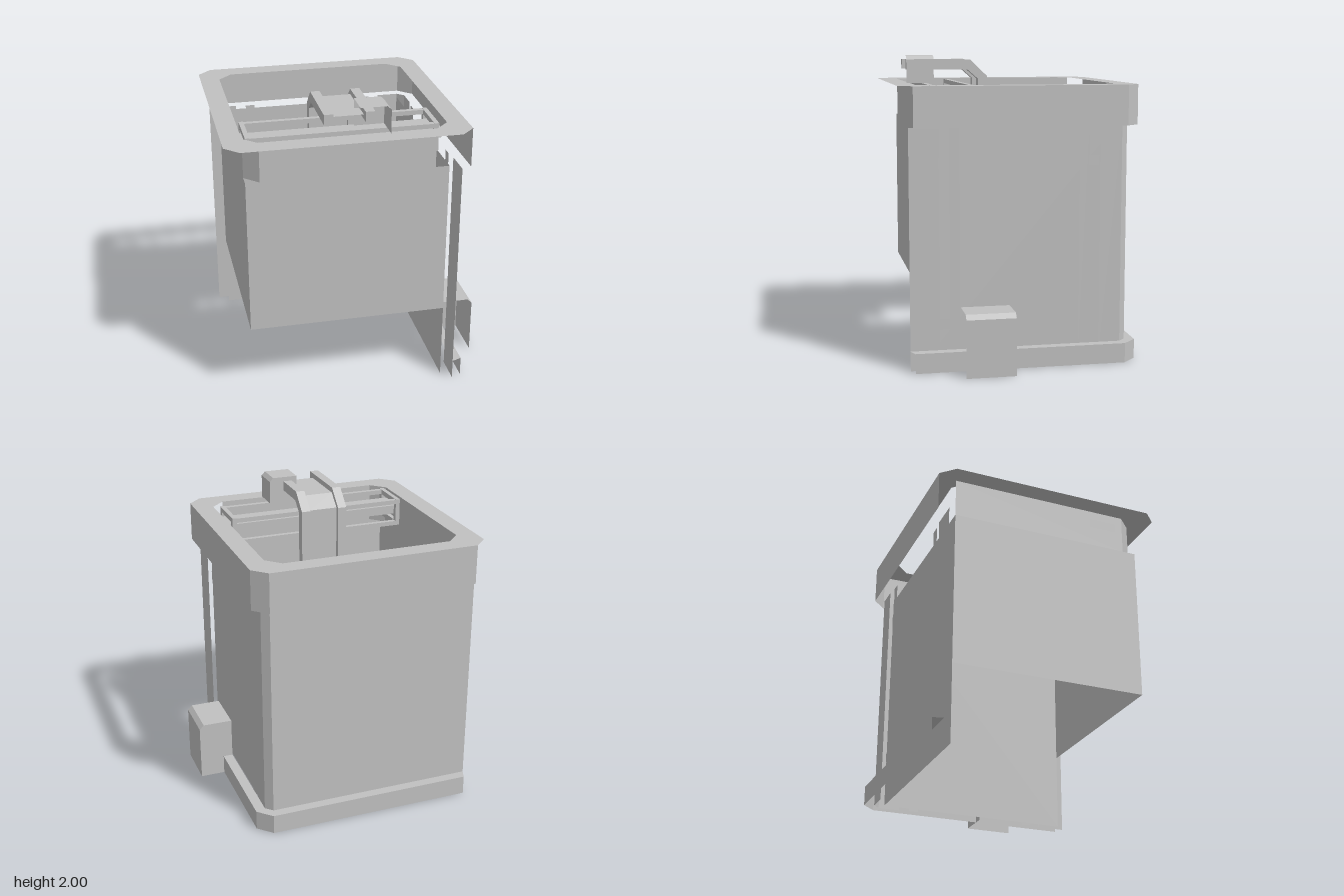
import * as THREE from 'three';

const grey = new THREE.MeshStandardMaterial({ color: 0xc0c0c0, side: THREE.DoubleSide, flatShading: true });
grey.name = 'light grey';

// Open sheet joining a 2D path swept between two levels; map turns (u, v, level) into xyz.
function sheet(path, a, b, map) {
  const pos = [];
  for (let i = 0; i < path.length - 1; i++) {
    const [p, q] = [path[i], path[i + 1]];
    const A = map(...p, a), B = map(...q, a), C = map(...q, b), D = map(...p, b);
    pos.push(...A, ...B, ...C, ...A, ...C, ...D);
  }
  const g = new THREE.BufferGeometry();
  g.setAttribute('position', new THREE.Float32BufferAttribute(pos, 3));
  g.computeVertexNormals();
  return g;
}

const upright = (x, z, y) => [x, y, z];
const alongX = (z, y, x) => [x, y, z];
const alongZ = (x, y, z) => [x, y, z];

// Chamfered square outline of half width h
function octagon(h, c) {
  const k = h - c;
  return [[-k, -h], [k, -h], [h, -k], [h, k], [k, h], [-k, h], [-h, k], [-h, -k]];
}

function flat(points, y, hole) {
  const s = new THREE.Shape(points.map(([x, z]) => new THREE.Vector2(x, -z)));
  if (hole) s.holes.push(new THREE.Path(hole.map(([x, z]) => new THREE.Vector2(x, -z))));
  return new THREE.ShapeGeometry(s).rotateX(-Math.PI / 2).translate(0, y, 0);
}

export function createModel() {
  const model = new THREE.Group();
  model.name = 'printer';
  const body = new THREE.Group();
  body.name = 'body';
  body.position.x = -0.085;
  model.add(body);

  const add = (parent, name, geometry) => {
    const m = new THREE.Mesh(geometry, grey);
    m.name = name;
    parent.add(m);
    return m;
  };
  const box = (parent, name, x0, x1, y0, y1, z0, z1) => add(parent, name,
    new THREE.BoxGeometry(x1 - x0, y1 - y0, z1 - z0)
      .translate((x0 + x1) / 2, (y0 + y1) / 2, (z0 + z1) / 2));

  // Top ring with outer skirts on two sides and inner skirts on the other two
  add(body, 'topRing', flat(octagon(0.78, 0.09), 1.82, octagon(0.65, 0.09)));
  const skirt = [[0.78, 0.69], [0.78, -0.69], [0.69, -0.78], [-0.69, -0.78]];
  add(body, 'topSkirt', sheet(skirt, 1.56, 1.82, upright));
  add(body, 'innerSkirt', sheet(
    [[0.56, 0.65], [-0.56, 0.65], [-0.65, 0.56], [-0.65, -0.65]], 1.56, 1.82, upright));

  // Base trim with its ledge
  add(body, 'baseSkirt', sheet(skirt, 0, 0.13, upright));
  add(body, 'baseLedge', flat(
    [...skirt, [-0.715, -0.715], [0.67, -0.715], [0.715, -0.67], [0.715, 0.715]], 0.13));

  // Chamber: two short walls and two full height panels
  add(body, 'shortWalls', sheet([[0.65, 0.65], [-0.65, 0.65], [-0.65, -0.65]], 0.52, 1.56, upright));
  add(body, 'tallPanels', sheet([[0.65, 0.65], [0.65, -0.65], [-0.65, -0.65]], 0, 1.56, upright));

  // Outer shell corner
  add(body, 'shellCorner', sheet(
    [[0.715, -0.525], [0.715, -0.67], [0.67, -0.715], [0.525, -0.715]], 0, 1.56, upright));

  // Shell edge, posts and rails, repeated on the side and the back
  const toSide = (u, d, y) => [d, y, u];
  const toBack = (u, d, y) => [u, y, -d];
  for (const map of [toSide, toBack]) {
    const edge = map === toSide ? 1 : -1;
    add(body, 'shellEdge', sheet([[edge * 0.525, 0.715], [edge * 0.715, 0.715]], 0, 1.56, map));
    for (const s of [-1, 1])
      add(body, 'post', sheet([[s * 0.39, 0.705], [s * 0.455, 0.705]], 0, 1.56, map));
    for (const y of [0.26, 1.3])
      add(body, 'rail', sheet([[-0.525, 0.69], [0.525, 0.69]], y, y + 0.065, map));
  }

  // Side housing, open toward the front
  const housing = [[0.63, 0.405], [0.83, 0.405], [0.86, 0.375], [0.86, 0]];
  add(model, 'sideHousing', sheet(housing, 0.07, 0.39, alongZ));
  const cap = (points, z) => new THREE.ShapeGeometry(
    new THREE.Shape(points.map((p) => new THREE.Vector2(...p)))).translate(0, 0, z);
  add(model, 'housingBack', cap([[0.63, 0], ...housing], 0.07));

  // Gantry: cross beam, rods and end frames
  const gantry = new THREE.Group();
  gantry.name = 'gantry';
  model.add(gantry);
  box(gantry, 'crossBeam', -0.735, 0.55, 1.7, 1.76, 0.32, 0.51);
  for (const z of [0.27, 0.525])
    for (const y of [1.63, 1.785])
      box(gantry, 'rod', -0.715, 0.515, y, y + 0.03, z, z + 0.033);
  for (const x of [-0.715, 0.485]) {
    for (const y of [1.63, 1.785]) box(gantry, 'endBar', x, x + 0.03, y, y + 0.033, 0.27, 0.56);
    for (const z of [0.27, 0.525]) box(gantry, 'endPost', x, x + 0.03, 1.63, 1.815, z, z + 0.033);
  }

  // Carriage: two bent side bands and the cover between them
  const band = new THREE.Shape([
    [0.66, 1.97], [0.23, 1.97], [0.115, 1.86], [0.115, 1.25],
    [0.175, 1.25], [0.175, 1.84], [0.25, 1.905], [0.66, 1.905],
  ].map((p) => new THREE.Vector2(...p)));
  for (const x of [-0.245, 0.015]) {
    const g = new THREE.ExtrudeGeometry(band, { depth: 0.06, bevelEnabled: false });
    add(gantry, 'carriageBand', g.rotateY(-Math.PI / 2).scale(1, 1, 1).translate(x + 0.06, 0, 0));
  }
  add(gantry, 'carriageCover', sheet(
    [[0.61, 1.935], [0.235, 1.935], [0.145, 1.855], [0.145, 1.25]], -0.185, 0.015, alongX));

  // Motor cover on the carriage
  const motor = [[-0.02, 2], [0.15, 2], [0.175, 1.975], [0.175, 1.82]];
  add(gantry, 'motorCover', sheet(motor, 0.49, 0.67, alongZ));
  add(gantry, 'motorBack', cap([[-0.02, 1.82], ...motor], 0.49));

  return model;
}
